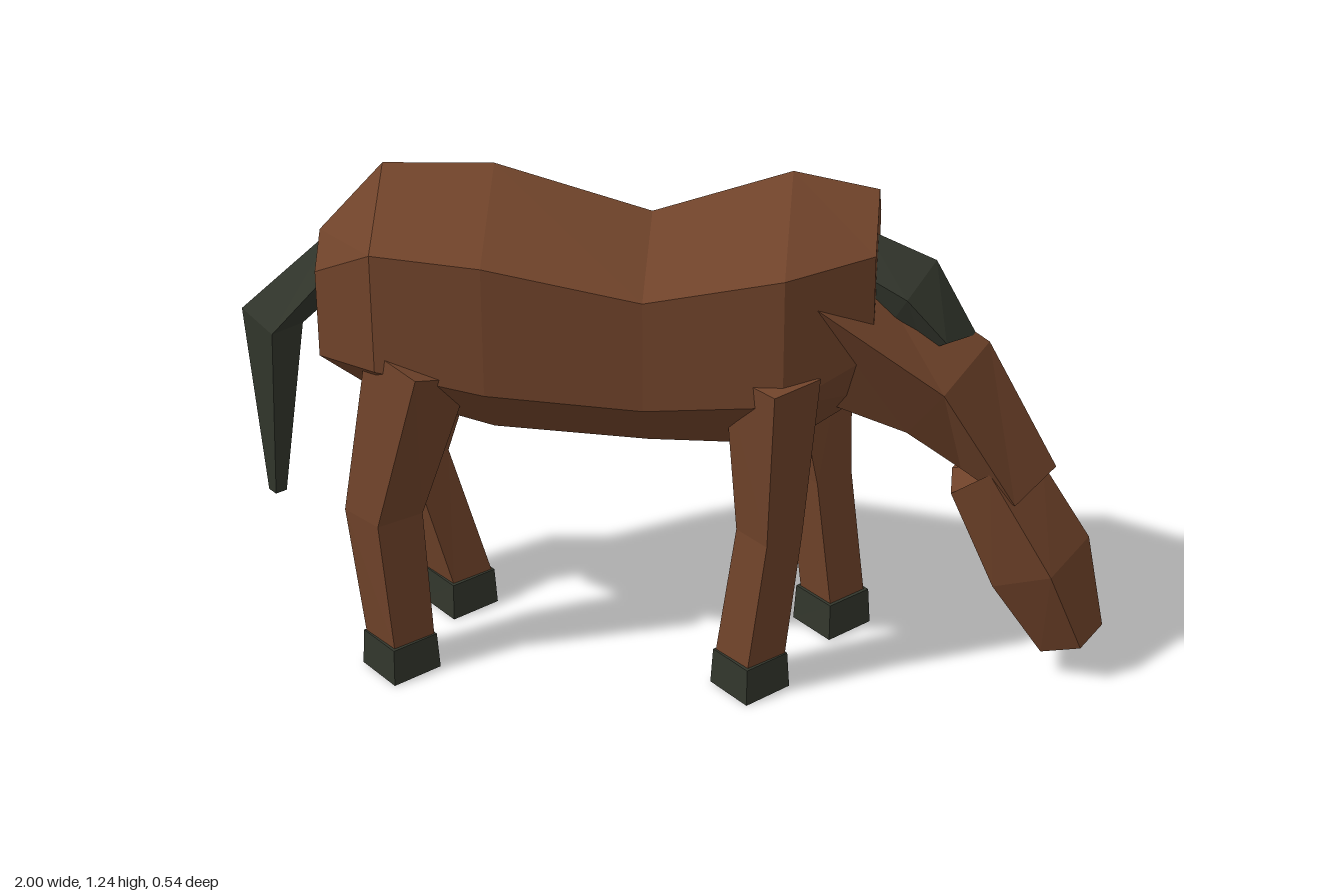
import * as THREE from 'three';

const coat = new THREE.MeshStandardMaterial({ color: 0x70432a, flatShading: true });
coat.name = 'brown coat';
const dark = new THREE.MeshStandardMaterial({ color: 0x32362c, flatShading: true });
dark.name = 'charcoal hair and hoof';

// Joins equal rings of [x, y, z] points into a closed faceted solid
function loft(name, rings, material) {
  const n = rings[0].length, tris = [];
  for (let r = 0; r < rings.length - 1; r++) {
    for (let i = 0; i < n; i++) {
      const j = (i + 1) % n, a = rings[r], b = rings[r + 1];
      tris.push([a[i], a[j], b[j]], [a[i], b[j], b[i]]);
    }
  }
  const first = rings[0], last = rings[rings.length - 1];
  for (let i = 1; i < n - 1; i++) {
    tris.push([first[0], first[i + 1], first[i]], [last[0], last[i], last[i + 1]]);
  }
  // Turn all faces outward using the enclosed volume
  let volume = 0;
  const [a, b, c] = [0, 0, 0].map(() => new THREE.Vector3());
  for (const t of tris) {
    volume += a.set(...t[0]).dot(b.set(...t[1]).cross(c.set(...t[2])));
  }
  if (volume < 0) tris.forEach((t) => t.reverse());
  const geometry = new THREE.BufferGeometry();
  geometry.setAttribute('position', new THREE.Float32BufferAttribute(tris.flat(2), 3));
  geometry.computeVertexNormals();
  const mesh = new THREE.Mesh(geometry, material);
  mesh.name = name;
  return mesh;
}

// Completes a half section (z >= 0, ridge first) by mirroring it across z = 0
const mirror = (half) => [
  ...half,
  ...half.filter((p) => p[2] > 0).reverse().map(([x, y, z]) => [x, y, -z]),
];

// Level four-cornered section: back, outer, front, inner
const diamond = (x, y, z, rx, rz) => [
  [x - rx, y, z], [x, y, z + rz], [x + rx, y, z], [x, y, z - rz],
];

// Upright barrel section: ridge, upper side, lower side, belly
const barrel = ([x, top, upper, lower, belly, w, bw]) =>
  mirror([[x, top, 0], [x, upper, w], [x, lower, w], [x, belly, bw]]);

// One leg with its hoof; side is +1 for the left, -1 for the right
function leg(name, side, top, knee, ankle) {
  const group = new THREE.Group();
  group.name = name;
  const flip = (ring) => ring.map(([x, y, z]) => [x, y, z * side]);
  group.add(
    loft('limb', [
      flip(top),
      flip(diamond(knee[0], 0.415, 0.15, knee[1], 0.075)),
      flip(diamond(ankle[0], 0.085, 0.15, ankle[1], 0.075)),
    ], coat),
    loft('hoof', [
      flip(diamond(ankle[0], 0.09, 0.15, 0.086, 0.086)),
      flip(diamond(ankle[0], 0, 0.15, 0.092, 0.094)),
    ], dark),
  );
  return group;
}

export function createModel() {
  const model = new THREE.Group();
  model.name = 'grazingHorse';

  // Body
  model.add(loft('body', [
    [-0.8, 1.05, 0.98, 0.77, 0.75, 0.075, 0.04],
    [-0.65, 1.22, 1.085, 0.8, 0.685, 0.2, 0.09],
    [-0.4, 1.23, 1.08, 0.77, 0.625, 0.232, 0.1],
    [-0.05, 1.13, 1.005, 0.74, 0.61, 0.212, 0.1],
    [0.26, 1.24, 1.08, 0.775, 0.615, 0.228, 0.1],
    [0.45, 1.205, 1.1, 0.86, 0.74, 0.122, 0.06],
  ].map(barrel), coat));

  // Lowered neck: ridge, side, underside
  model.add(loft('neck', [
    mirror([[0.42, 1.04, 0], [0.325, 1.0, 0.19], [0.33, 0.73, 0.1]]),
    mirror([[0.705, 0.845, 0], [0.61, 0.78, 0.148], [0.53, 0.647, 0.08]]),
    mirror([[0.87, 0.535, 0], [0.78, 0.487, 0.108], [0.655, 0.55, 0.06]]),
  ], coat));

  // Head and muzzle
  model.add(loft('head', [
    mirror([[0.84, 0.54, 0], [0.72, 0.565, 0.108], [0.635, 0.485, 0.06]]),
    mirror([[0.955, 0.355, 0], [0.87, 0.315, 0.128], [0.74, 0.25, 0.07]]),
    mirror([[1.0, 0.12, 0], [0.95, 0.1, 0.078], [0.86, 0.066, 0.047]]),
  ], coat));

  // Short mane on the crest
  model.add(loft('mane', [
    mirror([[0.42, 1.11, 0], [0.42, 1.03, 0.07], [0.42, 0.96, 0.05]]),
    mirror([[0.58, 1.04, 0], [0.52, 0.98, 0.088], [0.48, 0.9, 0.06]]),
    mirror([[0.675, 0.862, 0], [0.61, 0.873, 0.076], [0.56, 0.84, 0.05]]),
  ], dark));

  // Tail, swung slightly to the right
  model.add(loft('tail', [
    [[-0.77, 1.05, -0.01], [-0.76, 0.98, 0.05], [-0.74, 0.92, -0.01], [-0.76, 0.98, -0.065]],
    [[-1.0, 0.825, -0.035], [-0.915, 0.8, 0.042], [-0.86, 0.795, -0.035], [-0.93, 0.8, -0.11]],
    diamond(-0.945, 0.35, -0.035, 0.021, 0.021),
  ], dark));

  // Legs in a walking stance
  const hip = [[-0.675, 0.84, 0.16], [-0.545, 0.82, 0.272], [-0.445, 0.77, 0.15], [-0.55, 0.78, 0.06]];
  const shoulder = (front) => [[0.125, 0.82, 0.16], [0.245, 0.82, 0.272], [front, 0.83, 0.19], [0.25, 0.8, 0.07]];
  model.add(
    leg('leftHindLeg', 1, hip, [-0.655, 0.09], [-0.63, 0.08]),
    leg('rightHindLeg', -1, hip, [-0.63, 0.075], [-0.54, 0.08]),
    leg('leftFrontLeg', 1, shoulder(0.34), [0.23, 0.075], [0.19, 0.08]),
    leg('rightFrontLeg', -1, shoulder(0.39), [0.325, 0.075], [0.363, 0.075]),
  );
  return model;
}
